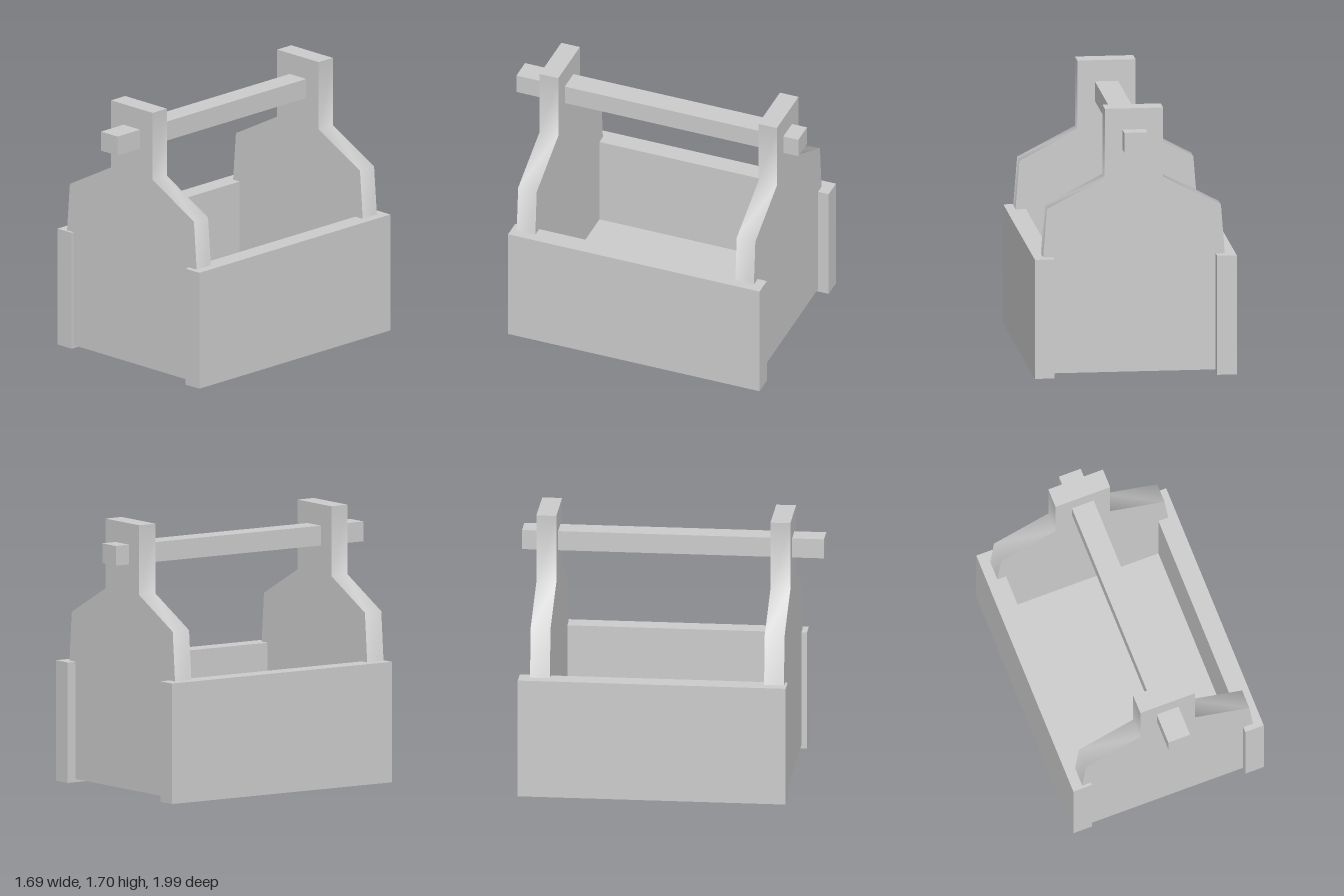
import * as THREE from 'three';
import { toCreasedNormals } from 'three/addons/utils/BufferGeometryUtils.js';

const material = new THREE.MeshStandardMaterial({ color: 0xcccccc, side: THREE.DoubleSide });

// Drops the faces lying on the lowest level and smooths the shallow bends
function openBottom(geometry) {
  const source = geometry.index ? geometry.toNonIndexed() : geometry;
  source.computeBoundingBox();
  const low = source.boundingBox.min.y + 1e-4;
  const p = source.attributes.position.array;
  const kept = [];
  for (let i = 0; i < p.length; i += 9) {
    if (Math.max(p[i + 1], p[i + 4], p[i + 7]) > low) kept.push(...p.slice(i, i + 9));
  }
  const open = new THREE.BufferGeometry();
  open.setAttribute('position', new THREE.Float32BufferAttribute(kept, 3));
  return toCreasedNormals(open, 1.2);
}

function add(parent, name, geometry, x, y, z) {
  const mesh = new THREE.Mesh(geometry, material);
  mesh.name = name;
  mesh.position.set(x, y, z);
  parent.add(mesh);
}

// Hollow board, open underneath, given by its limits on each axis
function addBoard(parent, name, [x0, x1], [y0, y1], [z0, z1]) {
  const box = new THREE.BoxGeometry(x1 - x0, y1 - y0, z1 - z0);
  add(parent, name, openBottom(box), (x0 + x1) / 2, (y0 + y1) / 2, (z0 + z1) / 2);
}

export function createModel() {
  const model = new THREE.Group();
  model.name = 'toolCaddy';
  const caddy = new THREE.Group();
  caddy.name = 'caddyBody';
  caddy.rotation.y = -0.29; // the caddy stands slightly turned
  model.add(caddy);

  const board = 0.125;
  const outer = 0.634, inner = 0.51;
  const frontEnd = 0.69, backEnd = -0.779;

  // Long side boards
  addBoard(caddy, 'leftSideBoard', [inner, outer], [0, 0.76], [-0.84, 0.85]);
  addBoard(caddy, 'rightSideBoard', [-outer, -inner], [0, 0.76], [-0.85, 0.832]);

  // End boards let into the sides: tapered body, sloped shoulders, narrow neck
  const half = [[0.63, 0.02], [0.547, 1.07], [0.183, 1.26], [0.183, 1.7]];
  const outline = [...half, ...half.map(([x, y]) => [-x, y]).reverse()];
  const shape = new THREE.Shape(outline.map(([x, y]) => new THREE.Vector2(x, y)));
  for (const [name, z] of [['frontEndBoard', frontEnd], ['backEndBoard', backEnd]]) {
    const end = new THREE.ExtrudeGeometry(shape, { depth: board, bevelEnabled: false });
    add(caddy, name, openBottom(end), 0.004, 0, z);
  }

  // Raised thin floor, tucked into the side boards
  const floorBack = backEnd + board;
  const floor = new THREE.PlaneGeometry(1.14, frontEnd - floorBack).rotateX(-Math.PI / 2);
  add(caddy, 'floorBoard', floor, 0, 0.17, (frontEnd + floorBack) / 2);

  // Square handle bar through both necks, longer at the front
  addBoard(caddy, 'handleBar', [-0.069, 0.077], [1.44, 1.565], [-0.88, 1.015]);

  return model;
}
